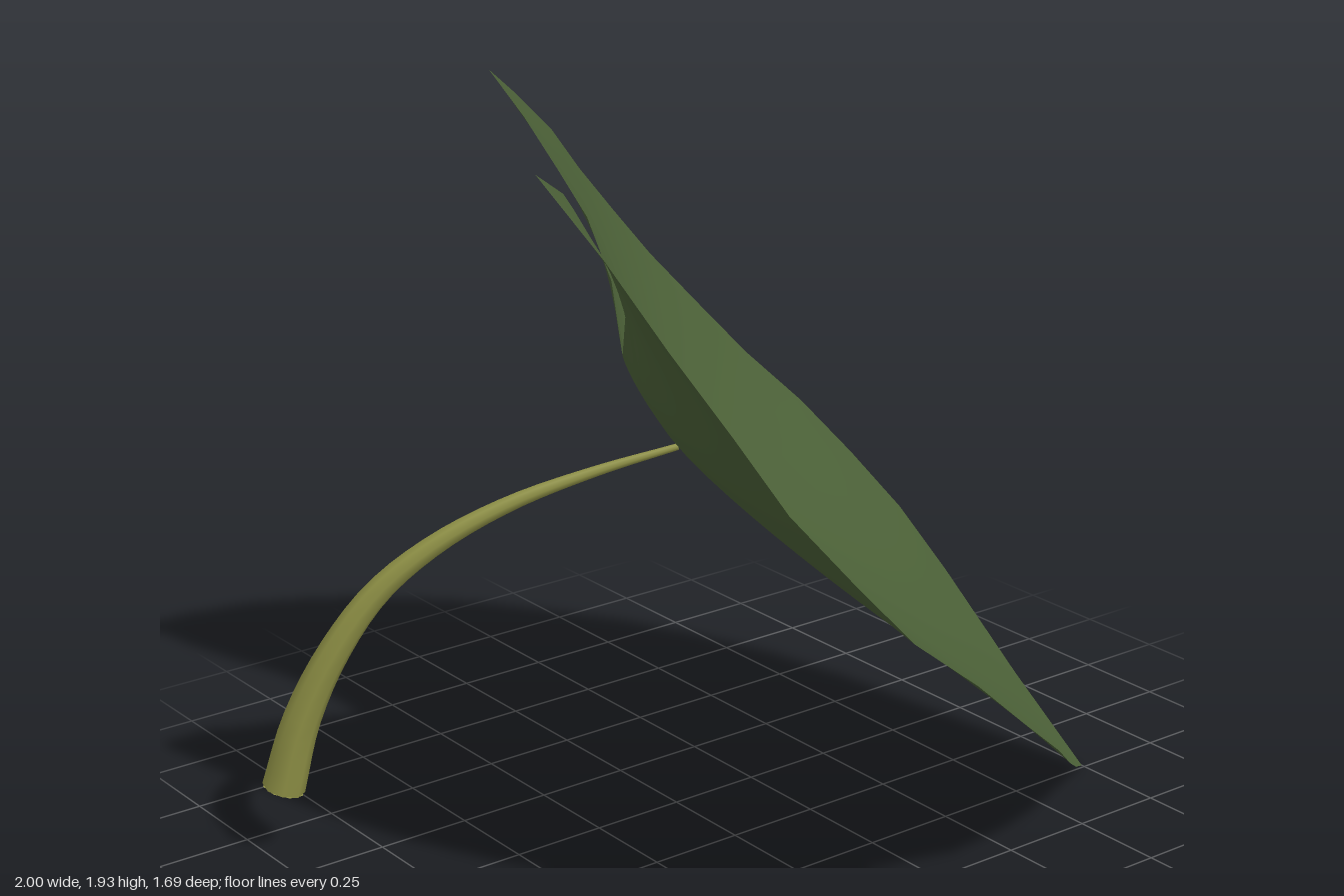
import * as THREE from 'three';

const leafGreen = new THREE.MeshStandardMaterial({ color: 0x4b6037, side: THREE.DoubleSide });
leafGreen.name = 'leafGreen';
const stemOlive = new THREE.MeshStandardMaterial({ color: 0x939548, side: THREE.DoubleSide });
stemOlive.name = 'stemOlive';

const V = (x, y, z) => new THREE.Vector3(x, y, z);
const heart = V(-0.1, 1.05, -0.1);                        // where the stem meets the blade
const facing = V(0.62, 0.7, 0.36).normalize();            // way the upper face looks
const across = V(-0.424, -0.089, 0.902).projectOnPlane(facing).normalize();
const along = across.clone().cross(facing);               // from leaf tip towards the notch, or back

// Notch and the inner edge of the left lobe
const leftInner = [
  [-0.2, 1.28, -0.19], [-0.26, 1.44, -0.09], [-0.36, 1.58, -0.03], [-0.45, 1.68, 0.02], [-0.54, 1.79, 0.06],
];
// Left lobe tip down to the leaf tip
const leftEdge = [
  [-0.67, 1.87, 0.14], [-0.63, 1.71, 0.34], [-0.58, 1.53, 0.51], [-0.51, 1.36, 0.64], [-0.42, 1.18, 0.73],
  [-0.29, 1.01, 0.8], [-0.14, 0.84, 0.835], [0.05, 0.69, 0.845], [0.24, 0.53, 0.8], [0.43, 0.38, 0.73],
  [0.6, 0.25, 0.6], [0.72, 0.17, 0.5], [1, 0, 0.24],
];
// Leaf tip up to the right lobe tip
const rightEdge = [
  [0.97, 0.2, 0], [0.94, 0.43, -0.26], [0.9, 0.58, -0.41], [0.83, 0.72, -0.54], [0.74, 0.86, -0.65],
  [0.62, 1, -0.745], [0.5, 1.15, -0.81], [0.37, 1.3, -0.845], [0.25, 1.44, -0.845], [0.12, 1.58, -0.815],
  [0, 1.71, -0.765], [-0.16, 1.84, -0.69], [-0.29, 1.93, -0.61],
];
// Inner edge of the right lobe back to the notch
const rightInner = [[-0.27, 1.83, -0.49], [-0.235, 1.71, -0.4], [-0.2, 1.6, -0.33], [-0.18, 1.45, -0.26]];

// Gaussian elimination with row swaps
function solve(rows) {
  const n = rows.length;
  for (let c = 0; c < n; c++) {
    let p = c;
    for (let r = c + 1; r < n; r++) if (Math.abs(rows[r][c]) > Math.abs(rows[p][c])) p = r;
    [rows[c], rows[p]] = [rows[p], rows[c]];
    for (let r = 0; r < n; r++) {
      if (r === c) continue;
      const f = rows[r][c] / rows[c][c];
      for (let k = c; k <= n; k++) rows[r][k] -= f * rows[c][k];
    }
  }
  return rows.map((row, i) => row[n] / row[i]);
}

// Smooth height field through the given (a, b, height) points
function smoothField(points) {
  const kernel = (p, q) => Math.pow(Math.hypot(p.x - q.x, p.y - q.y), 1.6);
  const weights = solve(points.map(p => [...points.map(q => kernel(p, q)), p.z]));
  return p => points.reduce((sum, q, i) => sum + weights[i] * kernel(p, q), 0);
}

// Blade: rings from the heart to the outline, draped over a smooth field
function bladeGeometry() {
  const outline = [...leftInner, ...leftEdge, ...rightEdge, ...rightInner].map(p => {
    const d = V(...p).sub(heart);
    return V(d.dot(across), d.dot(along), d.dot(facing));
  });
  const height = smoothField([V(0, 0, 0), ...outline]);
  const n = outline.length, rings = 16;
  const pos = [...heart.toArray()], index = [];
  for (let r = 1; r <= rings; r++) {
    for (const o of outline) {
      const p = o.clone().multiplyScalar(r / rings);
      pos.push(...heart.clone().addScaledVector(across, p.x).addScaledVector(along, p.y)
        .addScaledVector(facing, height(p)).toArray());
    }
  }
  for (let i = 0; i < n; i++) {
    const j = (i + 1) % n;
    index.push(0, 1 + i, 1 + j);
    for (let r = 0; r < rings - 1; r++) {
      const a = 1 + r * n, b = a + n;
      index.push(a + i, b + i, b + j, a + i, b + j, a + j);
    }
  }
  const g = new THREE.BufferGeometry();
  g.setAttribute('position', new THREE.Float32BufferAttribute(pos, 3));
  g.setIndex(index);
  g.computeVertexNormals();
  return g;
}

// Tube that thickens from its start to its end
function taperedTube(curve, steps, sides, radiusAt) {
  const g = new THREE.TubeGeometry(curve, steps, 1, sides);
  const p = g.attributes.position, v = new THREE.Vector3();
  for (let i = 0; i < p.count; i++) {
    const u = Math.floor(i / (sides + 1)) / steps;
    const c = curve.getPointAt(u);
    v.fromBufferAttribute(p, i).sub(c).multiplyScalar(radiusAt(u)).add(c);
    p.setXYZ(i, v.x, v.y, v.z);
  }
  return g;
}

// Flat round plate facing a direction
function plate(name, radius, sides, at, direction) {
  const m = new THREE.Mesh(new THREE.CircleGeometry(radius, sides), stemOlive);
  m.name = name;
  m.position.copy(at);
  m.quaternion.setFromUnitVectors(V(0, 0, 1), direction);
  return m;
}

export function createModel() {
  const model = new THREE.Group();
  model.name = 'leaf';

  const blade = new THREE.Mesh(bladeGeometry(), leafGreen);
  blade.name = 'blade';
  model.add(blade);

  // Stem arching down and back from the heart
  const path = new THREE.CatmullRomCurve3([
    heart.clone(), V(-0.27, 0.99, -0.215), V(-0.45, 0.915, -0.325), V(-0.61, 0.82, -0.415),
    V(-0.74, 0.7, -0.49), V(-0.84, 0.54, -0.55), V(-0.91, 0.36, -0.6), V(-0.95, 0.175, -0.635),
  ]);
  const stem = new THREE.Mesh(taperedTube(path, 28, 8, u => 0.009 + 0.046 * Math.pow(u, 1.15)), stemOlive);
  stem.name = 'stem';
  model.add(stem);
  model.add(plate('stemCutEnd', 0.055, 8, path.getPointAt(1), path.getTangentAt(1)));

  // Pale spot on the upper face above the stem
  model.add(plate('stemSpot', 0.045, 9, heart.clone().addScaledVector(facing, 0.016), facing));
  return model;
}
